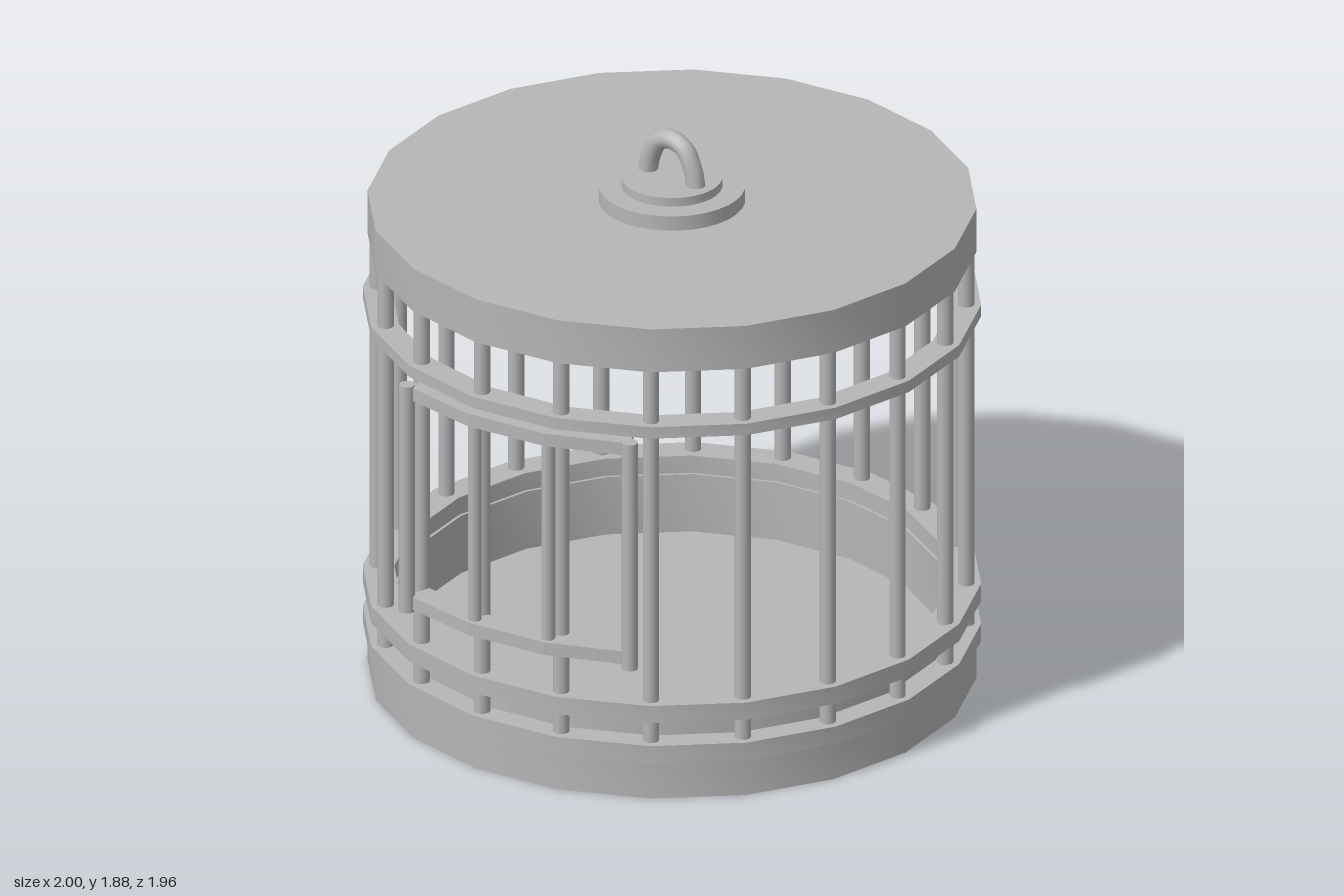
import * as THREE from 'three';
import { toCreasedNormals } from 'three/addons/utils/BufferGeometryUtils.js';

const SIDES = 20;
const rad = THREE.MathUtils.degToRad;

export function createModel() {
  const metal = new THREE.MeshStandardMaterial({ color: 0xb6b6b6 });
  metal.name = 'grey metal';
  const model = new THREE.Group();
  model.name = 'birdCage';
  const cage = new THREE.Group();
  cage.name = 'cage';
  cage.position.x = 0.02;
  model.add(cage);

  const add = (name, geometry, parent = cage) => {
    const mesh = new THREE.Mesh(geometry, metal);
    mesh.name = name;
    parent.add(mesh);
    return mesh;
  };
  // Solid of revolution with sharp profile corners
  const turned = (name, profile, sides = SIDES) => {
    const points = profile.map(([r, y]) => new THREE.Vector2(r, y));
    return add(name, toCreasedNormals(new THREE.LatheGeometry(points, sides), rad(40)));
  };
  const ring = (name, inner, outer, y0, y1) =>
    turned(name, [[inner, y0], [outer, y0], [outer, y1], [inner, y1], [inner, y0]]);
  // Upright round rod at an angle (from +x towards +z) and radius
  const rod = (name, angle, r, y0, y1, thickness, parent = cage) => {
    const mesh = add(name, new THREE.CylinderGeometry(thickness, thickness, y1 - y0, 10), parent);
    mesh.position.set(r * Math.cos(rad(angle)), (y0 + y1) / 2, r * Math.sin(rad(angle)));
    return mesh;
  };

  // Base tray with an inner wall and a recessed floor
  turned('baseTray', [[0, 0], [0.965, 0], [0.965, 0.13], [0.9, 0.13], [0.9, 0.27],
    [0.87, 0.27], [0.87, 0.07], [0, 0.07]]);
  ring('lowerBaseRing', 0.89, 0.98, 0.13, 0.19);
  ring('upperBaseRing', 0.88, 0.98, 0.27, 0.33);
  ring('upperRing', 0.89, 0.98, 1.265, 1.305);

  // Cage bars
  for (let i = 0; i < SIDES; i++) rod('cageBar', i * 360 / SIDES, 0.932, 0.13, 1.5, 0.026);

  // Roof and stepped cap
  turned('roof', [[0, 1.49], [0.965, 1.49], [0.965, 1.64], [0, 1.64]]);
  turned('capLower', [[0, 1.64], [0.232, 1.64], [0.232, 1.69], [0, 1.69]], 32);
  turned('capUpper', [[0, 1.69], [0.16, 1.69], [0.16, 1.72], [0, 1.72]], 32);

  // Hanging loop
  const arch = new THREE.CatmullRomCurve3(
    [[0.102, 1.7], [0.085, 1.775], [0.053, 1.83], [0, 1.85], [-0.053, 1.83], [-0.085, 1.775], [-0.102, 1.7]]
      .map(([z, y]) => new THREE.Vector3(0, y, z)));
  add('hangingLoop', new THREE.TubeGeometry(arch, 24, 0.031, 12));

  // Door on the side: curved rails, end posts, bars and hinges
  const door = new THREE.Group();
  door.name = 'door';
  cage.add(door);
  const stops = [147.4, 163.3, 179.2, 195];
  const plan = (r) => (a) => new THREE.Vector2(r * Math.cos(rad(a)), -r * Math.sin(rad(a)));
  const railShape = new THREE.Shape([...stops.map(plan(1.02)), ...[...stops].reverse().map(plan(0.935))]);
  for (const y of [0.49, 1.22]) {
    const rail = new THREE.ExtrudeGeometry(railShape, { depth: 0.044, bevelEnabled: false });
    rail.rotateX(-Math.PI / 2);
    add('doorRail', rail, door).position.y = y;
  }
  for (const a of [stops[0], stops[3]]) rod('doorPost', a, 1.022, 0.48, 1.27, 0.026, door);
  for (const a of [stops[1], stops[2]]) rod('doorBar', a, 0.985, 0.5, 1.25, 0.022, door);
  for (const [y0, y1] of [[0.62, 0.77], [1, 1.145]]) rod('doorHinge', 198.2, 0.985, y0, y1, 0.022, door);

  return model;
}
